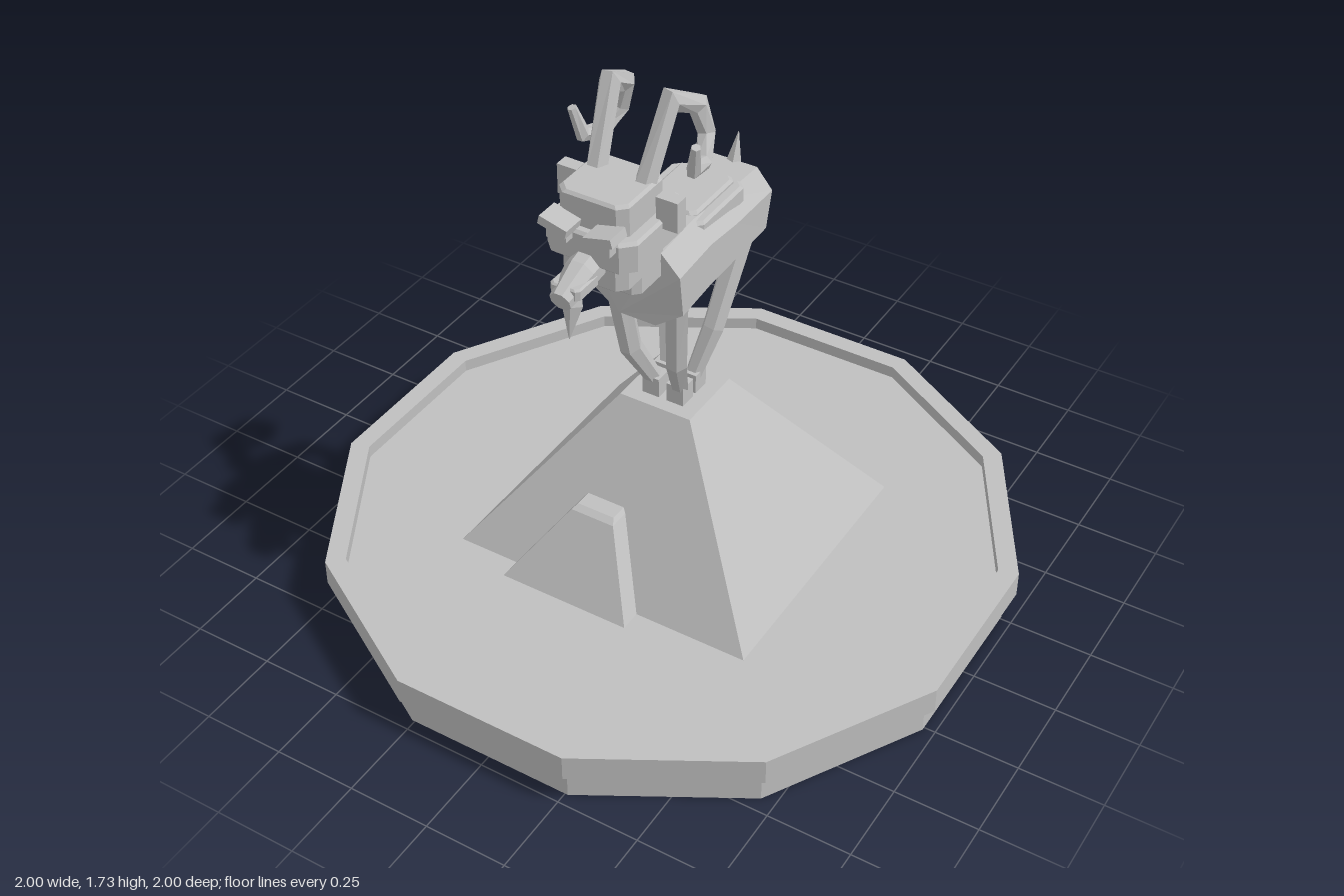
import * as THREE from 'three';

const V = (x, y, z) => new THREE.Vector3(x, y, z);

// Closed faceted solid through a list of equal-length rings
function loft(rings) {
  const pos = [];
  const tri = (...p) => p.forEach((q) => pos.push(q.x, q.y, q.z));
  const n = rings[0].length;
  for (let k = 0; k < rings.length - 1; k++) {
    const a = rings[k], b = rings[k + 1];
    for (let i = 0; i < n; i++) {
      const j = (i + 1) % n;
      tri(a[i], a[j], b[j]);
      tri(a[i], b[j], b[i]);
    }
  }
  const first = rings[0], last = rings[rings.length - 1];
  for (let i = 1; i < n - 1; i++) {
    tri(first[0], first[i + 1], first[i]);
    tri(last[0], last[i], last[i + 1]);
  }
  const g = new THREE.BufferGeometry();
  g.setAttribute('position', new THREE.Float32BufferAttribute(pos, 3));
  g.computeVertexNormals();
  return g;
}

// Mitred, tapered tube along straight segments
function limb(points, radii, sides = 6, phase = 0) {
  const dir = (i) => points[i + 1].clone().sub(points[i]).normalize();
  return loft(points.map((p, i) => {
    const d0 = dir(Math.max(i - 1, 0)), d1 = dir(Math.min(i, points.length - 2));
    const t = d0.clone().add(d1).normalize();
    const u = V(1, 0, 0).addScaledVector(t, -t.x).normalize();
    const v = t.clone().cross(u);
    const mitre = 1 / Math.max(t.dot(d1), 0.5);
    return Array.from({ length: sides }, (_, k) => {
      const a = phase + (k / sides) * Math.PI * 2;
      return p.clone().addScaledVector(u, radii[i] * Math.cos(a))
        .addScaledVector(v, radii[i] * mitre * Math.sin(a));
    });
  }));
}

// Horizontal rectangle with cut corners
function rect(y, x0, x1, z0, z1, c) {
  const corners = c
    ? [[x0, z1 - c], [x0 + c, z1], [x1 - c, z1], [x1, z1 - c], [x1, z0 + c], [x1 - c, z0], [x0 + c, z0], [x0, z0 + c]]
    : [[x0, z1], [x1, z1], [x1, z0], [x0, z0]];
  return corners.map(([x, z]) => V(x, y, z));
}

// Chamfered block, symmetric in x
function block(w, y0, y1, z0, z1, c = 0.025, b = 0.008) {
  const r = (y, s) => rect(y, -w + s, w - s, z0 + s, z1 - s, c);
  return loft([r(y0, b), r(y0 + b, 0), r(y1 - b, 0), r(y1, b)]);
}

export function createModel() {
  const model = new THREE.Group();
  const stone = new THREE.MeshStandardMaterial({ color: 0xbfbfbf });
  stone.name = 'stoneGrey';
  const add = (name, geometry, parent = model) => {
    const mesh = new THREE.Mesh(geometry, stone);
    mesh.name = name;
    parent.add(mesh);
    return mesh;
  };

  // Twelve-sided plinth with a recessed top
  const profile = [[0, 0], [1, 0], [1, 0.1], [1.035, 0.1], [1.035, 0.18], [0.975, 0.18], [0.975, 0.14], [0, 0.14]]
    .map(([x, y]) => new THREE.Vector2(x, y));
  const plinth = new THREE.LatheGeometry(profile, 12).toNonIndexed();
  plinth.computeVertexNormals();
  plinth.rotateY(Math.PI / 12);
  add('plinth', plinth);

  // Peak and its small buttress
  add('peak', loft([rect(0.13, -0.485, 0.485, -0.455, 0.415), rect(0.63, -0.115, 0.115, -0.12, 0.1)]));
  add('buttress', loft([rect(0.13, -0.293, 0.133, 0.1, 0.48), rect(0.36, -0.135, 0.005, 0.1, 0.335),
    rect(0.372, -0.125, -0.005, 0.1, 0.315)]));

  const goat = new THREE.Group();
  goat.name = 'goat';
  model.add(goat);

  // Barrel body: z, half width, bottom, top
  const sections = [
    [-0.31, 0.125, 0.99, 1.225], [-0.1, 0.143, 1.01, 1.25], [0.04, 0.145, 1.01, 1.265], [0.195, 0.145, 0.995, 1.25]];
  add('body', loft(sections.map(([z, w, y0, y1], i) => {
    const lean = i === 0 ? -0.015 : i === 3 ? 0.008 : 0;
    return [[-0.4, y0], [0.4, y0], [1, y0 + 0.065], [1, y1 - 0.06], [0.6, y1], [-0.6, y1], [-1, y1 - 0.06], [-1, y0 + 0.065]]
      .map(([x, y]) => V(x * w, y, z + lean * (y > 1.1 ? 1 : -1)));
  })), goat);
  add('tail', limb([V(0, 1.165, -0.305), V(0, 1.21, -0.325), V(0, 1.305, -0.35)], [0.03, 0.025, 0.001], 5), goat);

  // Saddle
  add('saddleBlanket', block(0.115, 1.2, 1.258, -0.2, 0.05, 0.02), goat);
  add('saddleSeat', block(0.085, 1.25, 1.272, -0.19, 0.03, 0.015), goat);

  // Neck and stacked head
  add('neck', block(0.085, 1.17, 1.3, 0.17, 0.315, 0.02), goat);
  add('jaw', block(0.1, 1.24, 1.33, 0.2, 0.405), goat);
  add('cheeks', block(0.138, 1.32, 1.415, 0.14, 0.43, 0.035), goat);
  add('crown', block(0.105, 1.405, 1.507, 0.2, 0.405), goat);

  // Muzzle and beard
  add('muzzle', limb([V(0, 1.32, 0.38), V(0, 1.305, 0.45), V(0, 1.275, 0.545)], [0.05, 0.047, 0.032], 8, Math.PI / 8), goat);
  add('nose', block(0.045, 1.275, 1.312, 0.43, 0.53, 0.01, 0.005), goat);
  add('beard', limb([V(0, 1.255, 0.485), V(0, 1.235, 0.488), V(0, 1.135, 0.51)], [0.025, 0.03, 0.001], 5), goat);

  for (const s of [1, -1]) {
    const side = s > 0 ? 'left' : 'right';
    const part = (name, size, at, tilt = 0) => {
      const m = add(side + name, new THREE.BoxGeometry(...size), goat);
      m.position.set(s * at[0], at[1], at[2]);
      m.rotation.z = s * tilt;
    };
    part('Ear', [0.065, 0.09, 0.04], [0.15, 1.435, 0.257]);
    part('Brow', [0.085, 0.026, 0.07], [0.068, 1.435, 0.438], 0.25);
    part('Eye', [0.06, 0.028, 0.06], [0.065, 1.405, 0.43]);

    // Curled horn
    add(side + 'Horn', limb([
      V(s * 0.072, 1.48, 0.26), V(s * 0.09, 1.695, 0.16), V(s * 0.11, 1.64, 0.06), V(s * 0.13, 1.555, 0.048),
      V(s * 0.152, 1.5, 0.1), V(s * 0.168, 1.52, 0.175), V(s * 0.186, 1.605, 0.195),
    ], [0.031, 0.03, 0.028, 0.026, 0.023, 0.02, 0.013]), goat);

    // Legs gathered on the peak
    for (const [name, hoofZ, kneeZ, topZ] of [['FrontLeg', 0.03, 0.105, 0.14], ['BackLeg', -0.04, -0.095, -0.205]]) {
      add(side + name, limb([V(s * 0.042, 0.67, hoofZ), V(s * 0.075, 0.82, kneeZ), V(s * 0.097, 1.07, topZ)],
        [0.025, 0.033, 0.036]), goat);
      const hoof = add(side + name + 'Hoof', new THREE.BoxGeometry(0.055, 0.065, 0.056), goat);
      hoof.position.set(s * 0.04, 0.659, hoofZ);
    }
  }
  return model;
}
